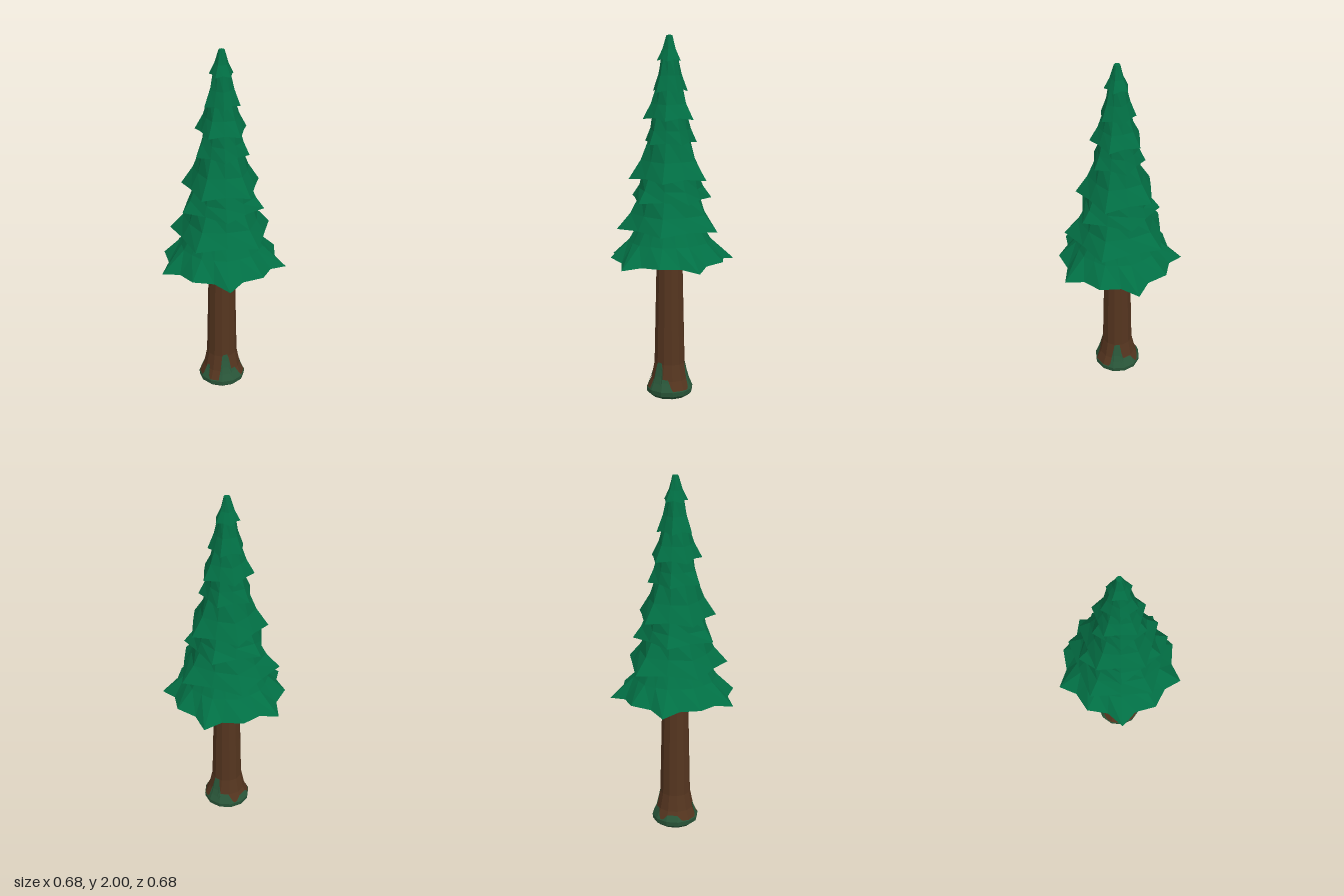
import * as THREE from 'three';

const DEG = Math.PI / 180;
const CZ = 0.015; // the tree's axis sits slightly forward

const paint = (color) =>
  new THREE.MeshStandardMaterial({ color, flatShading: true, side: THREE.DoubleSide });

// Point at an angle around the axis: 0 faces the front, 90 the model's left.
const polar = (deg, r, y) =>
  new THREE.Vector3(r * Math.sin(deg * DEG), y, CZ + r * Math.cos(deg * DEG));

// Skin between closed rings of equal length, listed from top to bottom.
function skin(rings) {
  const pos = [];
  const tri = (...pts) => pts.forEach((p) => pos.push(p.x, p.y, p.z));
  for (let k = 0; k + 1 < rings.length; k++) {
    const a = rings[k], b = rings[k + 1], n = a.length;
    for (let i = 0; i < n; i++) {
      const j = (i + 1) % n;
      tri(b[i], b[j], a[i]);
      tri(b[j], a[j], a[i]);
    }
  }
  const geo = new THREE.BufferGeometry();
  geo.setAttribute('position', new THREE.Float32BufferAttribute(pos, 3));
  geo.computeVertexNormals();
  return geo;
}

function part(name, geo, material) {
  const mesh = new THREE.Mesh(geo, material);
  mesh.name = name;
  return mesh;
}

// Lowest skirt's upper edge, tucked under the tier above.
const LOW = { top: 0.99, r0: 0.165 };

// Five-pointed skirts from the crown down: top and tip height, top and tip
// radius, and whether a tip points to the front (0) or to the back (1).
const TIERS = [
  { top: 2.0, y: 1.865, r0: 0.016, r: 0.068, turn: 0 },
  { top: 1.9, y: 1.7, r0: 0.042, r: 0.1, turn: 1 },
  { top: 1.74, y: 1.555, r0: 0.068, r: 0.145, turn: 0 },
  { top: 1.59, y: 1.425, r0: 0.092, r: 0.15, turn: 1 },
  { top: 1.46, y: 1.232, r0: 0.108, r: 0.223, turn: 0 },
  { top: 1.26, y: 1.118, r0: 0.152, r: 0.232, turn: 1 },
  { top: 1.15, y: 0.957, r0: 0.16, r: 0.29, turn: 0 },
];

// The underside folds in to meet the upper edge of the tier below.
function skirt({ top, y, r0, r, turn }, below) {
  const ring = (fn) => Array.from({ length: 10 }, (_, i) => fn(i * 36, i % 2 === turn));
  const h = top - y;
  const rim = (tip) => (tip ? r : r * 0.815);
  return skin([
    ring((a) => polar(a, r0, top)),
    ring((a, tip) => polar(a, THREE.MathUtils.lerp(r0, rim(tip), 0.43), y + h * 0.45)),
    ring((a, tip) => polar(a, rim(tip), tip ? y : y + h * 0.07)),
    ring((a) => polar(a, below.r0, below.top)),
  ]);
}

// Lowest skirt: five long and five short points with notches between them.
function lowestSkirt() {
  const ring = (fn) => Array.from({ length: 20 }, (_, i) => fn(i));
  const rim = (i) => {
    const long = i % 4 === 2;
    if (i % 2 === 0) return polar(i * 18, long ? 0.358 : 0.325, long ? 0.772 : 0.797);
    const lean = i % 4 === 1 ? 2.8 : -2.8; // notches lean towards the long points
    return polar(i * 18 + lean, 0.296, 0.79);
  };
  return skin([
    ring((i) => polar(i * 18, LOW.r0, LOW.top)),
    ring((i) => polar(i * 18, i % 2 ? 0.222 : 0.228, 0.89)),
    ring(rim),
    ring((i) => polar(i * 18, 0.062, 0.93)), // folds in to the trunk
  ]);
}

// Trunk outline, top to bottom: height and radius.
const TRUNK = [
  [1.0, 0.066], [0.78, 0.072], [0.19, 0.085], [0.1, 0.103],
  [0.045, 0.127], [0.02, 0.124], [0, 0.1],
];

function trunkRadius(y) {
  const k = Math.max(1, TRUNK.findIndex(([height]) => y >= height));
  const [y0, r0] = TRUNK[k - 1], [y1, r1] = TRUNK[k];
  return THREE.MathUtils.mapLinear(y, y0, y1, r0, r1);
}

// Moss tongues climbing the bark: angle, height and half width.
const TONGUES = [
  [42, 0.2, 17], [62, 0.11, 22], [160, 0.19, 17], [190, 0.1, 24],
  [-20, 0.125, 9], [-105, 0.08, 22],
];

// Moss hugging the twelve-sided foot
function moss() {
  const height = (a) => TONGUES.reduce((h, [at, top, wide]) => {
    const d = Math.abs(((a - at + 540) % 360) - 180) / wide;
    return Math.max(h, 0.05 + (top - 0.05) * THREE.MathUtils.clamp(2.2 - d * 1.8, 0, 1));
  }, 0.05);
  const hug = (a, y) => {
    const facet = Math.cos(15 * DEG) / Math.cos(((a % 30) - 15) * DEG);
    return polar(a, (trunkRadius(y) + 0.003) * facet, y);
  };
  const ring = (fn) => Array.from({ length: 72 }, (_, i) => fn(i * 5));
  const climb = [1, 0.75, 0.5, 0.25, 0].map((t) =>
    ring((a) => hug(a, THREE.MathUtils.lerp(0.045, height(a), t))));
  return skin([
    ...climb,
    ring((a) => hug(a, 0.02)), ring((a) => hug(a, 0)), ring((a) => polar(a, 0, 0)),
  ]);
}

export function createModel() {
  const tree = new THREE.Group();
  tree.name = 'pineTree';
  const green = paint(0x027045), bark = paint(0x55351f), mossGreen = paint(0x2a573a);

  // Trunk with a flared foot
  const trunkRings = TRUNK.map(([y, r]) =>
    Array.from({ length: 12 }, (_, i) => polar(i * 30, r, y)));
  tree.add(part('trunk', skin(trunkRings), bark));
  tree.add(part('moss', moss(), mossGreen));

  // Foliage
  const foliage = new THREE.Group();
  foliage.name = 'foliage';
  TIERS.forEach((t, i) =>
    foliage.add(part(`branchTier${i + 1}`, skirt(t, TIERS[i + 1] ?? LOW), green)));
  foliage.add(part('lowestBranchTier', lowestSkirt(), green));

  // Small flat tip closing the crown
  const tip = new THREE.CircleGeometry(0.016, 10, -Math.PI / 2)
    .rotateX(-Math.PI / 2).translate(0, 2, CZ);
  foliage.add(part('crownTip', tip, green));
  tree.add(foliage);
  return tree;
}
